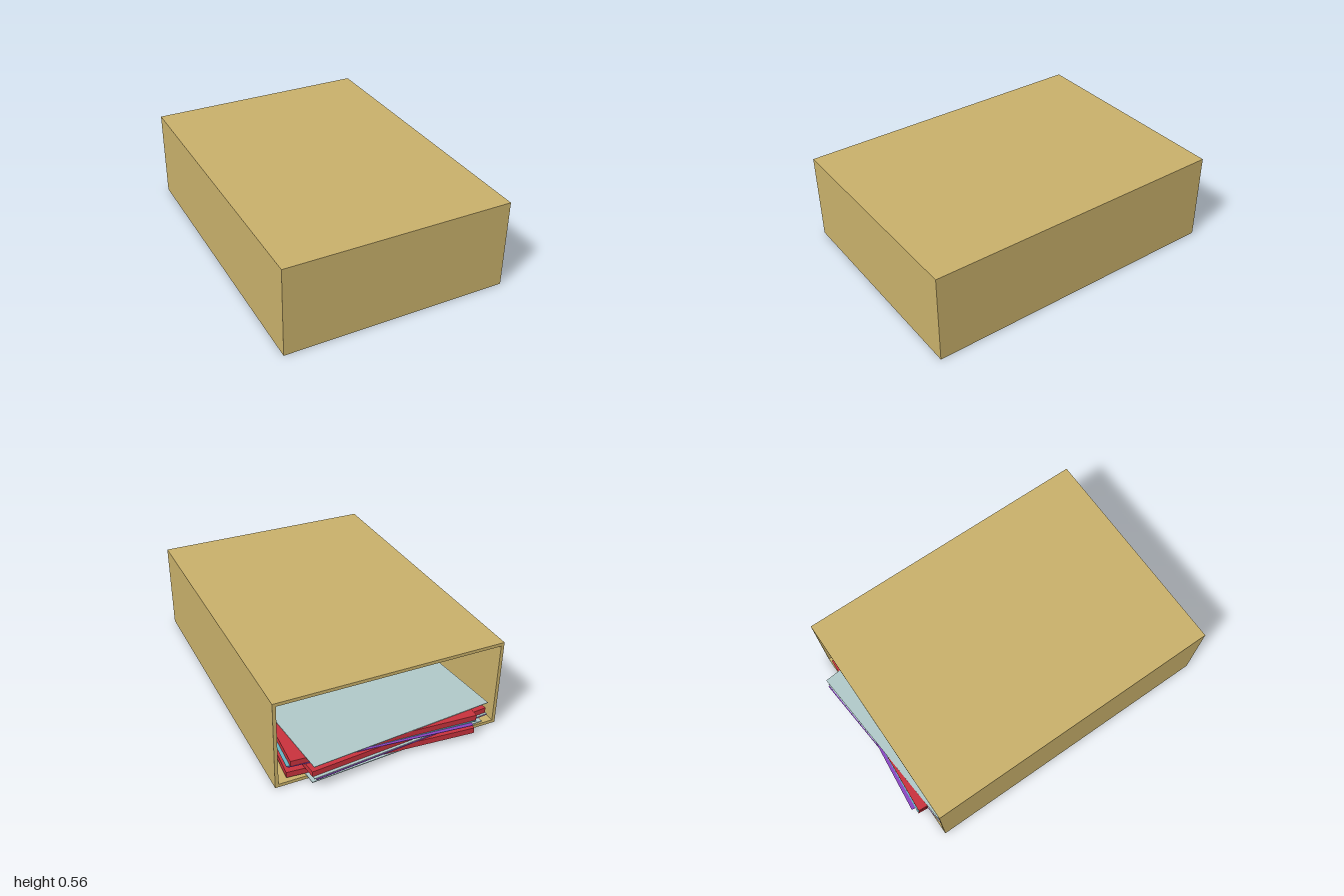
import * as THREE from 'three';

const W = 1.39, H = 0.555, BACK = -0.895, FRONT = 1, T = 0.02;
const material = (color) => new THREE.MeshStandardMaterial({ color, flatShading: true });
const card = material(0xc8b06a);
const red = material(0xc8323c);
const pale = material(0xb0c8c8);
const purple = material(0x8844c0);
const cyan = material(0x66b4c4);

function box(name, mat, w, h, d, x, y, z) {
  const mesh = new THREE.Mesh(new THREE.BoxGeometry(w, h, d), mat);
  mesh.name = name;
  mesh.position.set(x, y, z);
  return mesh;
}

// Rectangular sleeve, closed at the front and open at the back
function makeSleeve() {
  const half = W / 2;
  const outline = new THREE.Shape([
    new THREE.Vector2(-half, 0), new THREE.Vector2(half, 0),
    new THREE.Vector2(half, H), new THREE.Vector2(-half, H),
  ]);
  outline.holes.push(new THREE.Path([
    new THREE.Vector2(-half + T, T), new THREE.Vector2(-half + T, H - T),
    new THREE.Vector2(half - T, H - T), new THREE.Vector2(half - T, T),
  ]));
  const tube = new THREE.Mesh(
    new THREE.ExtrudeGeometry(outline, { depth: FRONT - T - BACK, bevelEnabled: false }), card);
  tube.name = 'sleeveWalls';
  tube.position.z = BACK;
  const sleeve = new THREE.Group();
  sleeve.name = 'sleeve';
  sleeve.add(tube, box('frontPanel', card, W, H, T, 0, H / 2, FRONT - T / 2));
  return sleeve;
}

// Stack of folders and loose sheets, fanned alternately to either side
function makeStack() {
  const stack = new THREE.Group();
  stack.name = 'paperStack';
  // name, material, bottom, thickness, turn, width, length
  const layers = [
    ['sheet', pale, 0.022, 0.005, 0.07, 1.12, 1.46],
    ['folder', red, 0.028, 0.036, -0.08, 1.13, 1.45],
    ['sheet', purple, 0.0645, 0.003, 0.095, 1.14, 1.5],
    ['sheet', pale, 0.068, 0.004, 0.09, 1.15, 1.49],
    ['folder', red, 0.0725, 0.034, 0.085, 1.15, 1.46],
    ['sheet', purple, 0.107, 0.003, -0.092, 1.1, 1.49],
    ['sheet', cyan, 0.1105, 0.003, -0.075, 1.14, 1.46],
    ['folder', red, 0.114, 0.034, -0.06, 1.12, 1.46],
    ['sheet', pale, 0.1485, 0.004, 0.088, 1.15, 1.49],
  ];
  layers.forEach(([name, mat, y, h, turn, w, d], i) => {
    const layer = box(name + (i + 1), mat, w, h, d, 0, y + h / 2, -0.195);
    layer.rotation.y = turn;
    stack.add(layer);
  });
  return stack;
}

export function createModel() {
  const model = new THREE.Group();
  model.name = 'openBoxWithPapers';
  model.add(makeSleeve(), makeStack());
  return model;
}
